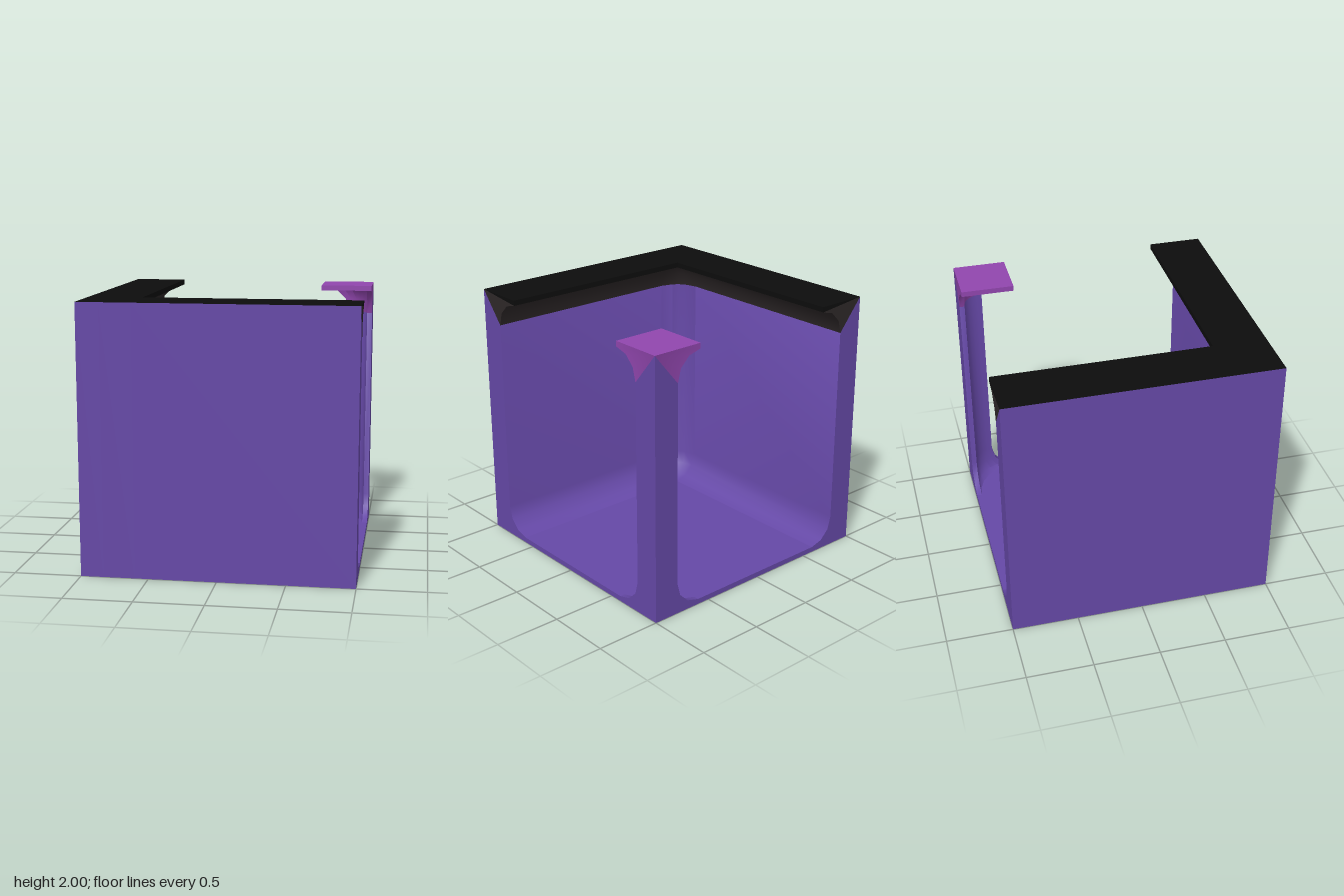
import * as THREE from 'three';
import { toCreasedNormals } from 'three/addons/utils/BufferGeometryUtils.js';

const PURPLE = 0x6548a6, MAGENTA = 0x9146ae, BLACK = 0x0d0d0d, CHARCOAL = 0x2e2829;
const ARC = [0, 1, 2, 3].map((i) => (i * Math.PI) / 6);

// Skin closed rings of equal point count; the ends are fans around point 0.
function loft(rings) {
  const pos = [];
  const a = new THREE.Vector3(), b = new THREE.Vector3();
  const tri = (p, q, r) => {
    a.subVectors(q, p);
    b.subVectors(r, p);
    if (a.cross(b).length() > 1e-7) for (const v of [p, q, r]) pos.push(v.x, v.y, v.z);
  };
  const n = rings[0].length;
  for (let i = 0; i + 1 < rings.length; i++) {
    for (let j = 0; j < n; j++) {
      const k = (j + 1) % n, lo = rings[i], hi = rings[i + 1];
      tri(lo[j], lo[k], hi[k]);
      tri(lo[j], hi[k], hi[j]);
    }
  }
  const first = rings[0], last = rings[rings.length - 1];
  for (let j = 1; j + 1 < n; j++) {
    tri(first[0], first[j + 1], first[j]);
    tri(last[0], last[j], last[j + 1]);
  }
  const geo = new THREE.BufferGeometry();
  geo.setAttribute('position', new THREE.Float32BufferAttribute(pos, 3));
  return toCreasedNormals(geo, 0.7);
}

// Sweep a [depth, y] profile along both walls; inside corner round, outside corner square.
function sweepWalls(profile) {
  const ring = (fn) => profile.map(([d, y]) => {
    const [x, z] = fn(d);
    return new THREE.Vector3(x, y, z);
  });
  const rings = [ring((d) => [1, 0.6 + d])];
  for (const deg of [0, 30, 45, 60, 90]) {
    const t = THREE.MathUtils.degToRad(deg), s = Math.sin(t), c = Math.cos(t);
    rings.push(ring((d) => {
      const k = d > 0.3 ? d / Math.max(s, c) : d;
      return [-0.6 - k * s, 0.6 + k * c];
    }));
  }
  rings.push(ring((d) => [-0.6 - d, -1]));
  return loft(rings);
}

// Horizontal post section of width s: two thin flanges joined by a hollow curve, or a square.
function postRing(s, y, cornerY = y, square = false) {
  const P = (x, z) => new THREE.Vector3(x, y, z);
  const { lerp } = THREE.MathUtils;
  const pts = [new THREE.Vector3(1, cornerY, -1), P(1 - s, -1)];
  for (let i = 0; i <= 6; i++) {
    const t = i / 6, w = (t * Math.PI) / 2, r = s - 0.04;
    if (!square) pts.push(P(1 - s + r * Math.sin(w), s - 1 - r * Math.cos(w)));
    else if (t <= 0.5) pts.push(P(1 - s, lerp(-0.96, s - 1, 2 * t)));
    else pts.push(P(lerp(1 - s, 0.96, 2 * t - 1), s - 1));
  }
  pts.push(P(1, s - 1));
  return pts;
}

export function createModel() {
  const group = new THREE.Group();
  const add = (name, geo, color) => {
    const mesh = new THREE.Mesh(geo, new THREE.MeshStandardMaterial({ color }));
    mesh.name = name;
    group.add(mesh);
    return mesh;
  };

  // Floor slab between the walls
  add('floor', new THREE.BoxGeometry(1.6, 0.04, 1.6), PURPLE).position.set(0.2, 0.02, -0.2);

  // Two joined walls with a cove at the floor
  add('walls', sweepWalls([
    [0.4, 0], [0.4, 2], [0.2, 1.76],
    ...ARC.map((t) => [0.2 * Math.cos(t), 0.24 - 0.2 * Math.sin(t)]),
    [0, 0],
  ]), PURPLE);

  // Rim on the walls: flat top and coved underside
  add('rimTop', sweepWalls([[0.4, 2], [0, 2], [0, 1.96]]), BLACK);
  add('rimCove', sweepWalls([
    [0.4, 2],
    ...ARC.map((t) => [0.2 * Math.sin(t), 1.76 + 0.2 * Math.cos(t)]),
  ]), CHARCOAL);

  // Free corner post, flared at the foot and mitred to a point at the top
  const tip = postRing(0.2, 2).map(() => new THREE.Vector3(1, 2, -1));
  add('cornerPost', loft([
    ...ARC.map((t) => postRing(0.4 - 0.2 * Math.sin(t), 0.24 - 0.2 * Math.cos(t))),
    postRing(0.2, 1.76),
    tip,
  ]), PURPLE);

  // Square cap flaring out of the post
  add('postCap', loft([
    ...ARC.map((t) => postRing(0.4 - 0.2 * Math.cos(t), 1.76 + 0.2 * Math.sin(t), 2)),
    postRing(0.4, 1.96, 2, true),
    postRing(0.4, 2, 2, true),
  ]), MAGENTA);

  return group;
}
